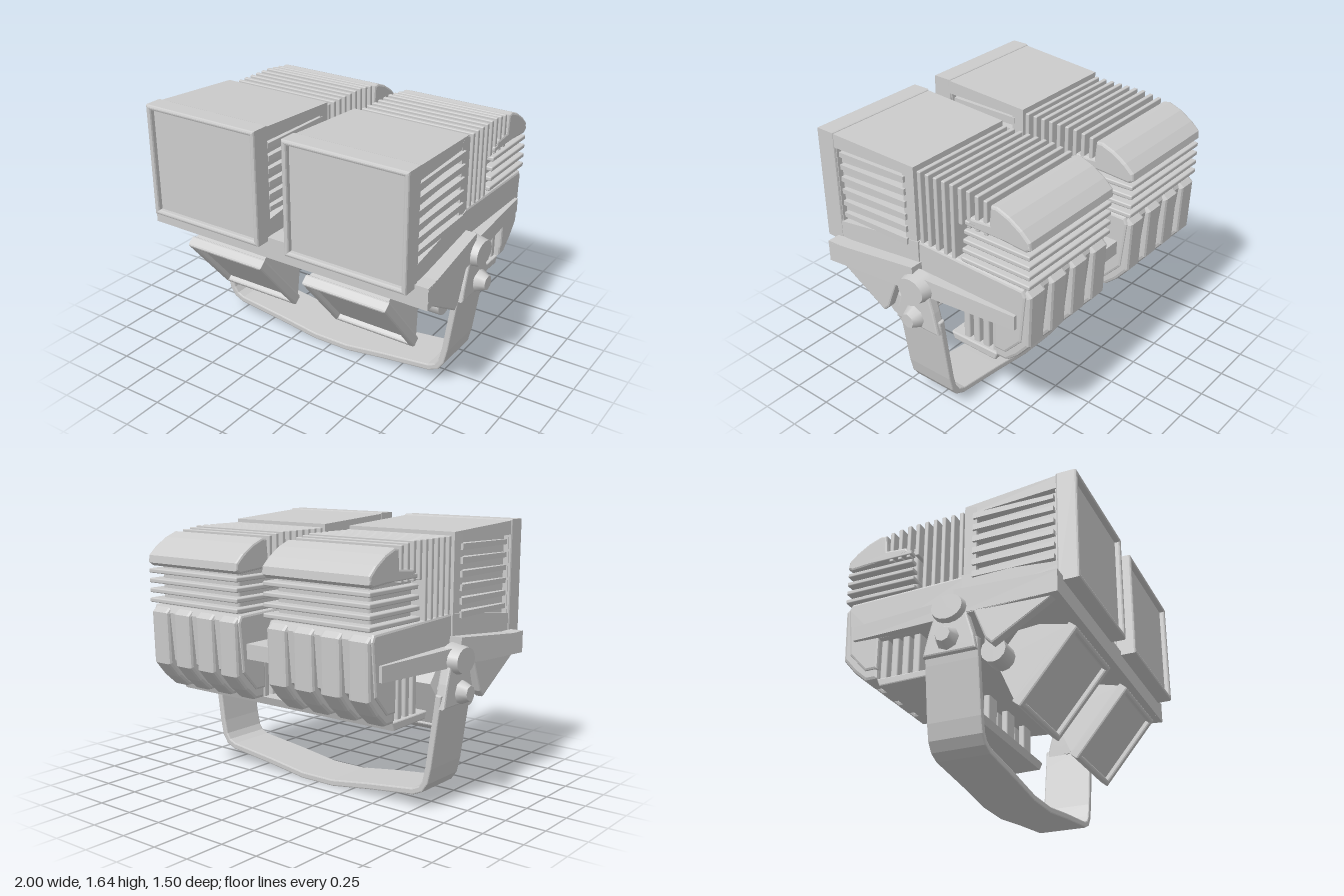
import * as THREE from 'three';
import { RoundedBoxGeometry } from 'three/addons/geometries/RoundedBoxGeometry.js';

const material = new THREE.MeshStandardMaterial({ color: 0xcccccc, roughness: 0.7 });

function add(parent, name, geometry, x = 0, y = 0, z = 0) {
  const mesh = new THREE.Mesh(geometry, material);
  mesh.name = name;
  mesh.position.set(x, y, z);
  parent.add(mesh);
  return mesh;
}

// Rounded block given by its limits on each axis; s mirrors x
function block(parent, name, s, [x0, x1], [y0, y1], [z0, z1], r = 0.01) {
  const g = new RoundedBoxGeometry(x1 - x0, y1 - y0, z1 - z0, 2, r);
  return add(parent, name, g, s * (x0 + x1) / 2, (y0 + y1) / 2, (z0 + z1) / 2);
}

// Tapered box between two rectangles [x0, x1, y0, y1, z]; s mirrors x
function loft(parent, name, s, front, back) {
  const g = new THREE.BoxGeometry(1, 1, 1);
  const p = g.attributes.position;
  for (let i = 0; i < p.count; i++) {
    const r = p.getZ(i) > 0 ? front : back;
    const outer = p.getX(i) * s > 0;
    p.setXYZ(i, s * (outer ? r[1] : r[0]), p.getY(i) > 0 ? r[3] : r[2], r[4]);
  }
  g.computeVertexNormals();
  return add(parent, name, g);
}

// Side profile of [z, y] points extruded across x, softly bevelled
function slab(parent, name, profile, x0, x1, bevel = 0.012) {
  const shape = new THREE.Shape(profile.map(([z, y]) => new THREE.Vector2(z, y)));
  const depth = Math.abs(x1 - x0) - 2 * bevel;
  const g = new THREE.ExtrudeGeometry(shape, {
    depth, bevelEnabled: bevel > 0, bevelThickness: bevel, bevelSize: bevel, bevelOffset: -bevel, bevelSegments: 2,
  });
  g.translate(0, 0, -depth / 2).rotateY(-Math.PI / 2);
  return add(parent, name, g, (x0 + x1) / 2);
}

// Rectangular rim with a recessed pane, facing +z with its front on z = 0
function lens(parent, name, w, h, depth, rim) {
  const group = new THREE.Group();
  group.name = name;
  const rect = (C, a, b) => new C([[-a, -b], [a, -b], [a, b], [-a, b]].map(q => new THREE.Vector2(...q)));
  const shape = rect(THREE.Shape, w / 2, h / 2);
  shape.holes.push(rect(THREE.Path, w / 2 - rim, h / 2 - rim));
  const bevel = 0.012;
  const g = new THREE.ExtrudeGeometry(shape, {
    depth: depth - 2 * bevel, bevelThickness: bevel, bevelSize: bevel, bevelOffset: -bevel, bevelSegments: 2,
  });
  add(group, 'rim', g, 0, 0, bevel - depth);
  add(group, 'pane', new THREE.BoxGeometry(w - rim, h - rim, depth - 0.03), 0, 0, -0.02 - depth / 2);
  parent.add(group);
  return group;
}

function lampHead(s) {
  const head = new THREE.Group();
  head.name = s > 0 ? 'leftHead' : 'rightHead';
  // Front housing
  lens(head, 'mainLens', 0.79, 0.7, 0.13, 0.03).position.set(s * 0.487, 1.29, 0.75);
  loft(head, 'housingCore', s, [0.14, 0.835, 1.0, 1.6, 0.63], [0.14, 0.81, 1.1, 1.58, 0.05]);
  loft(head, 'hood', s, [0.095, 0.88, 1.55, 1.637, 0.7], [0.095, 0.845, 1.54, 1.6, 0.04]);
  loft(head, 'housingFloor', s, [0.095, 0.88, 0.945, 1.06, 0.7], [0.095, 0.85, 0.95, 1.14, 0.03]);
  loft(head, 'rearCollar', s, [0.095, 0.85, 1.1, 1.58, 0.12], [0.095, 0.845, 1.1, 1.6, 0.04]);
  for (let i = 0; i < 6; i++) {
    const y = 1.12 + i * 0.078;
    loft(head, 'sideRib', s, [0.11, 0.865, y - 0.018, y + 0.012, 0.6], [0.09, 0.865, y - 0.016, y + 0.022, 0.1]);
  }
  // Upright cooling fins, the last ones standing on the rear core
  for (let i = 0; i < 9; i++) {
    const z = 0.012 - i * 0.058;
    const bottom = i < 5 ? 1.12 : 1.36;
    block(head, 'uprightFin', s, [0.1, 0.835], [bottom, 1.58 - Math.max(0, i - 6) * 0.008], [z - 0.013, z + 0.013], 0.006);
  }
  // Rear core, level fins and top cap
  block(head, 'rearCore', s, [0.15, 0.79], [1.08, 1.45], [-0.68, -0.29], 0.02);
  for (let i = 0; i < 5; i++) {
    const y = 1.15 + i * 0.06;
    block(head, 'levelFin', s, [0.1, 0.84], [y - 0.014, y + 0.014], [-0.745, -0.28 - i * 0.008], 0.008);
  }
  slab(head, 'rearCap', [[-0.49, 1.55], [-0.53, 1.555], [-0.61, 1.525], [-0.69, 1.475], [-0.745, 1.425], [-0.75, 1.38],
    [-0.72, 1.36], [-0.33, 1.39], [-0.35, 1.43], [-0.48, 1.44]], s * 0.095, s * 0.84, 0.014);
  // Lower rear body with lobes down its back
  slab(head, 'lowerBody', [[0.06, 1.14], [-0.7, 1.12], [-0.72, 1.08], [-0.69, 0.78], [-0.58, 0.66], [-0.5, 0.66],
    [-0.5, 0.85], [0.06, 0.85]], s * 0.11, s * 0.84, 0.015);
  for (let i = 0; i < 4; i++) {
    const x = 0.12 + i * 0.19;
    slab(head, 'rearLobe', [[-0.5, 1.06], [-0.71, 1.11], [-0.745, 1.08], [-0.735, 0.76], [-0.66, 0.67], [-0.58, 0.6],
      [-0.5, 0.6]], s * x, s * (x + 0.14), 0.02);
  }
  return head;
}

function lowerLamp(s) {
  const lamp = new THREE.Group();
  lamp.name = s > 0 ? 'leftLowerLamp' : 'rightLowerLamp';
  lens(lamp, 'lowerLens', 0.56, 0.53, 0.07, 0.035);
  loft(lamp, 'lowerShell', 1, [-0.27, 0.27, -0.255, 0.255, -0.06], [-0.2, 0.2, -0.12, 0.14, -0.36]);
  lamp.position.set(s * 0.43, 0.535, 0.5);
  lamp.rotation.x = 0.69;
  return lamp;
}

// Bent strip carried along half a centre line, mirrored to a full U
function bracketGeometry() {
  const half = [[0.885, 0.7], [0.87, 0.58], [0.825, 0.26], [0.805, 0.17], [0.775, 0.125], [0.72, 0.1], [0.4, 0.062], [0.12, 0.022]];
  const line = [...half, ...half.map(([x, y]) => [-x, y]).reverse()].map(p => new THREE.Vector2(...p));
  const offset = d => line.map((p, i) => {
    const t = line[Math.min(i + 1, line.length - 1)].clone().sub(line[Math.max(i - 1, 0)]).normalize();
    return new THREE.Vector2(p.x - t.y * d, p.y + t.x * d);
  });
  const shape = new THREE.Shape([...offset(0.02), ...offset(-0.02).reverse()]);
  const g = new THREE.ExtrudeGeometry(shape, { depth: 0.31, bevelThickness: 0.008, bevelSize: 0.008, bevelOffset: -0.008, bevelSegments: 2 });
  return g.translate(0, 0, -0.152);
}

export function createModel() {
  const model = new THREE.Group();
  model.name = 'twinFloodlight';

  // Carrier deck, wider at the front
  const deck = loft(model, 'deck', 1, [-0.965, 0.965, 0.83, 0.965, 0.655], [-0.86, 0.86, 0.86, 0.95, -0.66]);
  deck.geometry.computeBoundingBox();

  for (const s of [1, -1]) {
    model.add(lampHead(s), lowerLamp(s));

    // Side beam, gusset, arm head, pivot and knob
    loft(model, 'frontBeam', s, [0.84, 0.965, 0.83, 0.955, 0.65], [0.82, 0.92, 0.85, 1.01, 0.02]);
    slab(model, 'gusset', [[0.64, 0.85], [0.26, 0.62], [0.22, 0.66], [0.14, 0.86]], s * 0.87, s * 0.93);
    slab(model, 'armHead', [[0.165, 0.62], [0.15, 0.7], [0.1, 0.86], [-0.1, 0.86], [-0.13, 0.76], [-0.16, 0.62]], s * 0.86, s * 0.925);
    const pivot = add(model, 'pivot', new THREE.CylinderGeometry(0.095, 0.12, 0.1, 16), s * 0.915, 0.885, 0);
    pivot.rotation.z = -s * Math.PI / 2;
    pivot.scale.x = 0.8;
    const stem = add(model, 'knobStem', new THREE.CylinderGeometry(0.04, 0.04, 0.12, 12), s * 0.91, 0.7, 0);
    stem.rotation.z = Math.PI / 2;
    const knob = add(model, 'knob', new THREE.CylinderGeometry(0.045, 0.072, 0.06, 8), s * 0.97, 0.7, 0);
    knob.rotation.z = -s * Math.PI / 2;
  }

  // Hinges and rod carrying the lower lamps
  for (const x of [-0.78, 0, 0.78]) {
    block(model, 'hingeLug', 1, [x - 0.04, x + 0.04], [0.6, 0.86], [0.16, 0.26], 0.02);
    const barrel = add(model, 'hingeBarrel', new THREE.CylinderGeometry(0.075, 0.075, 0.13, 12), x, 0.63, 0.23);
    barrel.rotation.z = Math.PI / 2;
  }
  const rod = add(model, 'hingeRod', new THREE.CylinderGeometry(0.03, 0.03, 1.6, 12), 0, 0.63, 0.23);
  rod.rotation.z = Math.PI / 2;

  // Hanging tray beneath the rear, on upright ribs
  slab(model, 'tray', [[-0.17, 0.605], [-0.19, 0.56], [-0.49, 0.555], [-0.51, 0.605]], -0.82, 0.82, 0.008);
  for (let i = 0; i < 4; i++) {
    const z = -0.27 - i * 0.07;
    for (const x of [-0.74, -0.46, -0.18, 0.18, 0.46, 0.74]) {
      block(model, 'trayRib', 1, [x - 0.06, x + 0.06], [0.59, 0.88], [z - 0.022, z + 0.022], 0.01);
    }
  }

  // Mounting bracket
  add(model, 'mountingBracket', bracketGeometry());
  return model;
}
